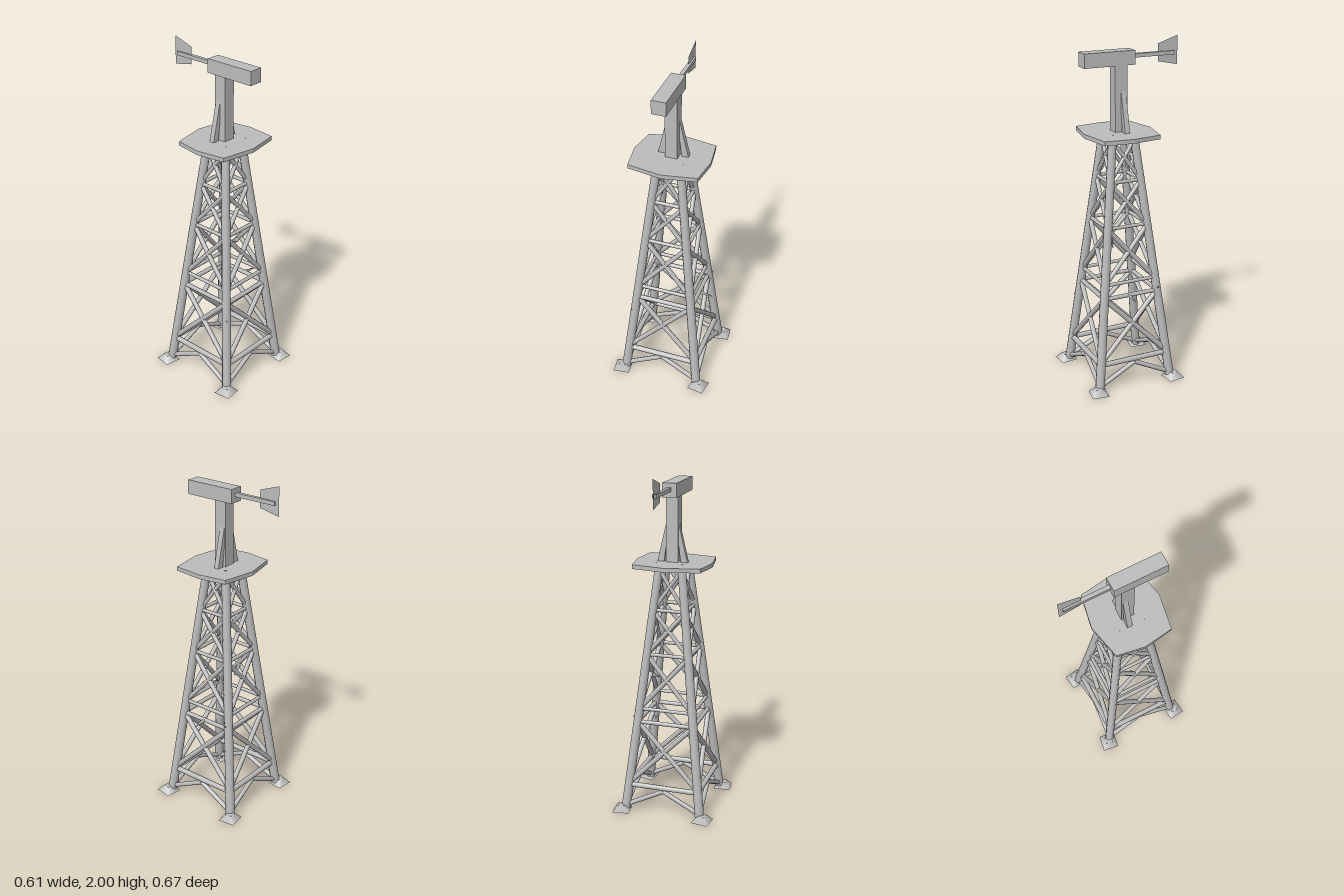
import * as THREE from 'three';

const CZ = 0.037; // tower axis in z
const steel = new THREE.MeshStandardMaterial({ color: 0xbcbcbc });
steel.name = 'galvanised steel';
const sheet = steel.clone();
sheet.side = THREE.DoubleSide;
sheet.name = 'galvanised sheet';

// half width of the tapering tower at height y
const half = (y) => 0.23 - (0.23 - 0.066) * (y / 1.47);
const corner = (sx, sz, y) => new THREE.Vector3(sx * half(y), y, CZ + sz * half(y));

function add(parent, name, geometry, x = 0, y = 0, z = 0, material = steel) {
  const mesh = new THREE.Mesh(geometry, material);
  mesh.name = name;
  mesh.position.set(x, y, z);
  parent.add(mesh);
  return mesh;
}

// round bar between two points
function bar(parent, name, a, b, r0, r1 = r0, sides = 8) {
  const dir = b.clone().sub(a);
  const mesh = add(parent, name, new THREE.CylinderGeometry(r1, r0, dir.length(), sides));
  mesh.position.copy(a).add(b).multiplyScalar(0.5);
  mesh.quaternion.setFromUnitVectors(new THREE.Vector3(0, 1, 0), dir.normalize());
  return mesh;
}

export function createModel() {
  const model = new THREE.Group();
  model.name = 'windPumpTower';
  const corners = [[1, 1], [1, -1], [-1, -1], [-1, 1]];

  // four legs on splayed foot plates
  corners.forEach(([sx, sz], i) => {
    bar(model, 'leg', corner(sx, sz, 0.015), corner(sx, sz, 1.485), 0.027, 0.024, 10);
    const foot = new THREE.CylinderGeometry(0.03, 0.07, 0.035, 4);
    foot.rotateY(Math.PI / 4 + (i % 2 ? 0.12 : -0.15));
    add(model, 'foot', foot, sx * 0.248, 0.0175, CZ + sz * 0.243);
  });

  // lattice on the four sides
  const lattice = new THREE.Group();
  lattice.name = 'lattice';
  model.add(lattice);
  const rings = [[0.16, 0.016], [0.55, 0.013], [0.63, 0.011], [0.955, 0.011], [1.215, 0.011]];
  const panels = [[0.17, 0.55, 0.015], [0.63, 0.95, 0.014], [0.96, 1.21, 0.013], [1.22, 1.45, 0.012]];
  corners.forEach((a, i) => {
    const b = corners[(i + 1) % 4];
    for (const [y, r] of rings) bar(lattice, 'crossbar', corner(...a, y), corner(...b, y), r);
    for (const [y0, y1, r] of panels) {
      bar(lattice, 'diagonal', corner(...a, y0), corner(...b, y1), r);
      bar(lattice, 'diagonal', corner(...b, y0), corner(...a, y1), r);
    }
    // inverted V at the base
    const mid = corner(...a, 0.14).add(corner(...b, 0.14)).multiplyScalar(0.5);
    bar(lattice, 'baseBrace', corner(...a, 0.03), mid, 0.014);
    bar(lattice, 'baseBrace', corner(...b, 0.03), mid, 0.014);
  });

  // small pointed stubs along the legs and crossbars
  const stubs = [
    [0.17, 0.55, 0.05, 0.255, 0.54, 0.05],
    [-0.17, 0.51, 0.2, -0.2, 0.45, 0.24],
    [0.17, 0.46, 0.2, 0.2, 0.4, 0.21],
    [0.16, 0.56, -0.11, 0.2, 0.58, -0.13],
    [0.13, 0.79, 0.03, 0.08, 0.79, 0.01],
    [-0.13, 0.8, 0.03, -0.09, 0.75, 0.03],
  ];
  for (const [x0, y0, z0, x1, y1, z1] of stubs) {
    bar(lattice, 'stub', new THREE.Vector3(x0, y0, z0), new THREE.Vector3(x1, y1, z1), 0.015, 0.003, 4);
  }

  // eight-cornered platform
  const outline = [[-0.2, -0.12], [0, -0.165], [0.195, -0.13], [0.22, 0.04],
    [0.2, 0.21], [0, 0.245], [-0.2, 0.21], [-0.226, 0.04]];
  const deck = new THREE.Shape(outline.map(([x, z]) => new THREE.Vector2(x, -z)));
  const deckGeometry = new THREE.ExtrudeGeometry(deck, { depth: 0.024, bevelEnabled: false });
  deckGeometry.rotateX(-Math.PI / 2);
  add(model, 'platform', deckGeometry, 0, 1.464, 0);

  // mast with two sloping side brackets
  add(model, 'mast', new THREE.BoxGeometry(0.07, 0.4, 0.074), 0, 1.675, 0.034);
  for (const s of [-1, 1]) {
    const side = new THREE.Shape();
    side.moveTo(s * 0.05, 1.48);
    side.lineTo(s * 0.09, 1.48);
    side.lineTo(s * 0.034, 1.72);
    side.lineTo(s * 0.03, 1.64);
    const bracket = new THREE.ExtrudeGeometry(side, { depth: 0.03, bevelEnabled: false });
    add(model, 'mastBracket', bracket, 0, 0, 0.005);
  }

  // head, tail rod and tail vane
  add(model, 'head', new THREE.BoxGeometry(0.082, 0.08, 0.306), 0, 1.9, 0.103);
  add(model, 'tailRod', new THREE.BoxGeometry(0.022, 0.022, 0.265), 0, 1.904, -0.178);
  const vane = new THREE.Shape();
  vane.moveTo(0.21, 1.96);
  vane.lineTo(0.333, 2.0);
  vane.lineTo(0.333, 1.835);
  vane.lineTo(0.21, 1.86);
  const vaneGeometry = new THREE.ShapeGeometry(vane);
  vaneGeometry.rotateY(Math.PI / 2);
  add(model, 'tailVane', vaneGeometry, 0, 0, 0, sheet);

  return model;
}
